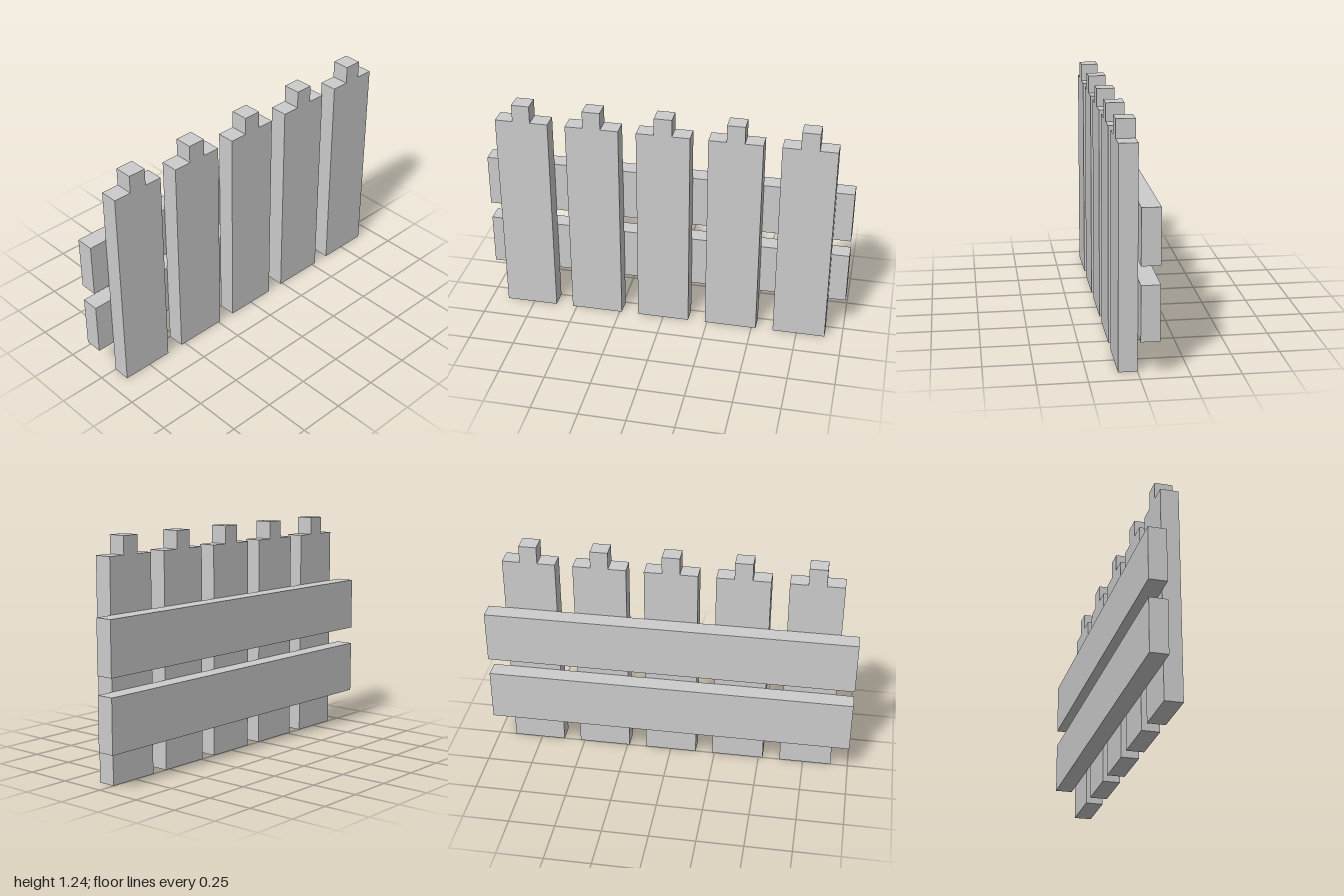
import * as THREE from 'three';

const U = 2 / 21; // plank thickness, the module of the whole fence

export function createModel() {
  const fence = new THREE.Group();
  fence.name = 'fence';
  const paint = new THREE.MeshStandardMaterial({ color: 0xcccccc });
  paint.name = 'light grey';

  // Picket outline: a wide board with a narrow stepped tip
  const outline = new THREE.Shape([
    [-1.5, 0], [1.5, 0], [1.5, 12], [0.5, 12],
    [0.5, 13], [-0.5, 13], [-0.5, 12], [-1.5, 12],
  ].map(([x, y]) => new THREE.Vector2(x * U, y * U)));
  const picketGeometry = new THREE.ExtrudeGeometry(outline, { depth: U, bevelEnabled: false });

  // Five evenly spaced pickets in front
  for (let i = -2; i <= 2; i++) {
    const picket = new THREE.Mesh(picketGeometry, paint);
    picket.name = `picket${i + 3}`;
    picket.position.x = i * 4 * U;
    fence.add(picket);
  }

  // Two horizontal rails behind
  const railGeometry = new THREE.BoxGeometry(21 * U, 3 * U, U);
  [['lowerRail', 3.5], ['upperRail', 7.5]].forEach(([name, y]) => {
    const rail = new THREE.Mesh(railGeometry, paint);
    rail.name = name;
    rail.position.set(0, y * U, -U / 2);
    fence.add(rail);
  });

  return fence;
}
